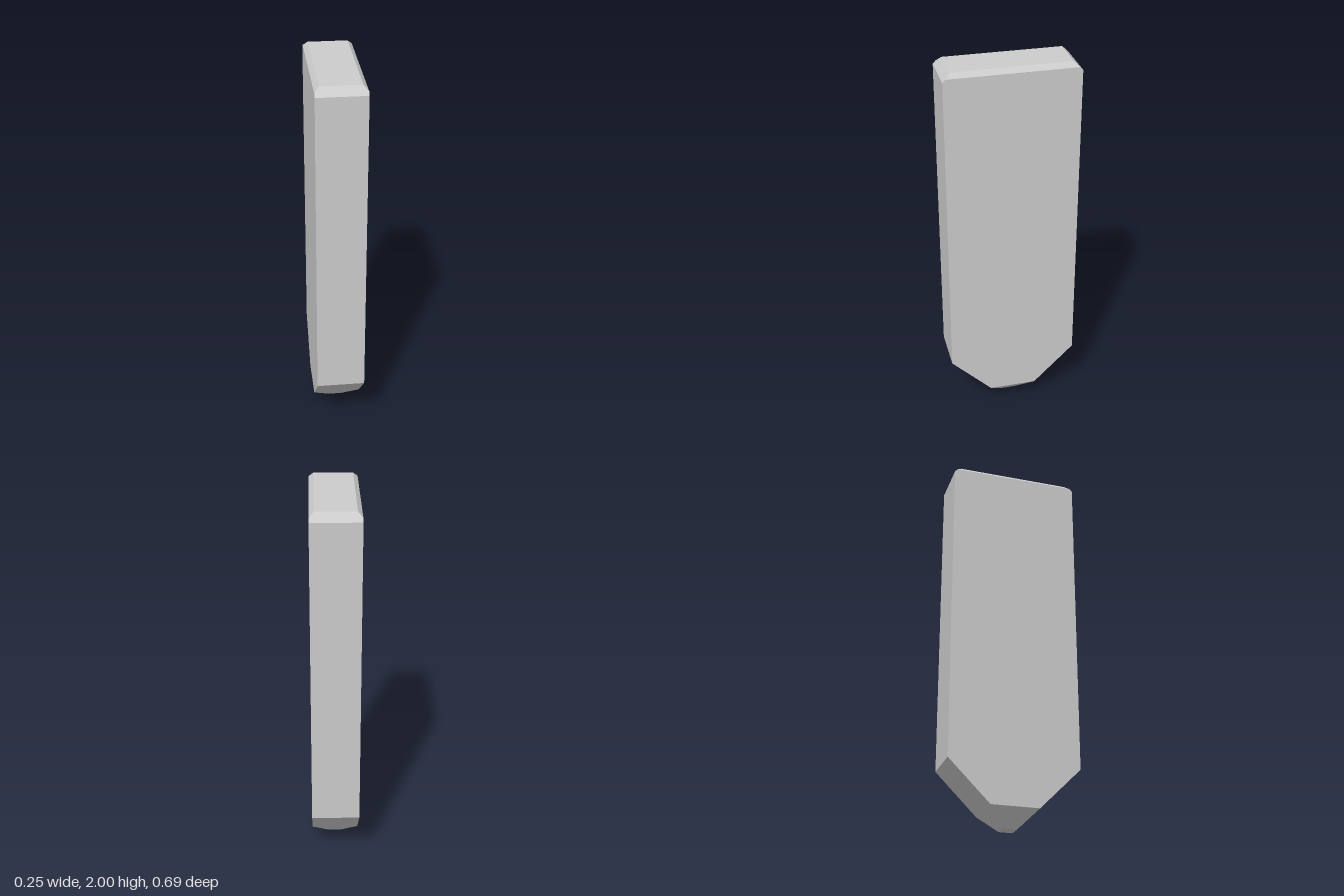
import * as THREE from 'three';

// Rectangular cross-sections from the tip to the top: [y, half width, half depth]
const SECTIONS = [
  [0, 0.036, 0.036],      // small flat tip
  [0.09, 0.126, 0.126],   // side bevels end
  [0.307, 0.126, 0.343],  // front and back bevels end
  [1.96, 0.126, 0.343],   // front and back top chamfers start
  [1.976, 0.126, 0.327],  // side top chamfers start
  [2, 0.102, 0.303],      // flat top
];

// Joins the rectangles with quads and closes both ends
function loftRectangles(sections) {
  const positions = [];
  const index = [];
  const quad = (a, b, c, d) => index.push(a, b, c, a, c, d);

  for (const [y, hx, hz] of sections) {
    positions.push(hx, y, hz, hx, y, -hz, -hx, y, -hz, -hx, y, hz);
  }
  for (let s = 0; s < sections.length - 1; s++) {
    for (let i = 0; i < 4; i++) {
      const a = s * 4 + i;
      const b = s * 4 + ((i + 1) % 4);
      quad(a, b, b + 4, a + 4);
    }
  }
  const top = (sections.length - 1) * 4;
  quad(3, 2, 1, 0);
  quad(top, top + 1, top + 2, top + 3);

  const indexed = new THREE.BufferGeometry();
  indexed.setAttribute('position', new THREE.Float32BufferAttribute(positions, 3));
  indexed.setIndex(index);
  const geometry = indexed.toNonIndexed();
  geometry.computeVertexNormals();
  return geometry;
}

export function createModel() {
  const group = new THREE.Group();
  group.name = 'pointedPost';

  // Flat post with a chamfered top and a bevelled point
  const material = new THREE.MeshStandardMaterial({ color: 0xcccccc, flatShading: true });
  const post = new THREE.Mesh(loftRectangles(SECTIONS), material);
  post.name = 'post';
  group.add(post);

  return group;
}
